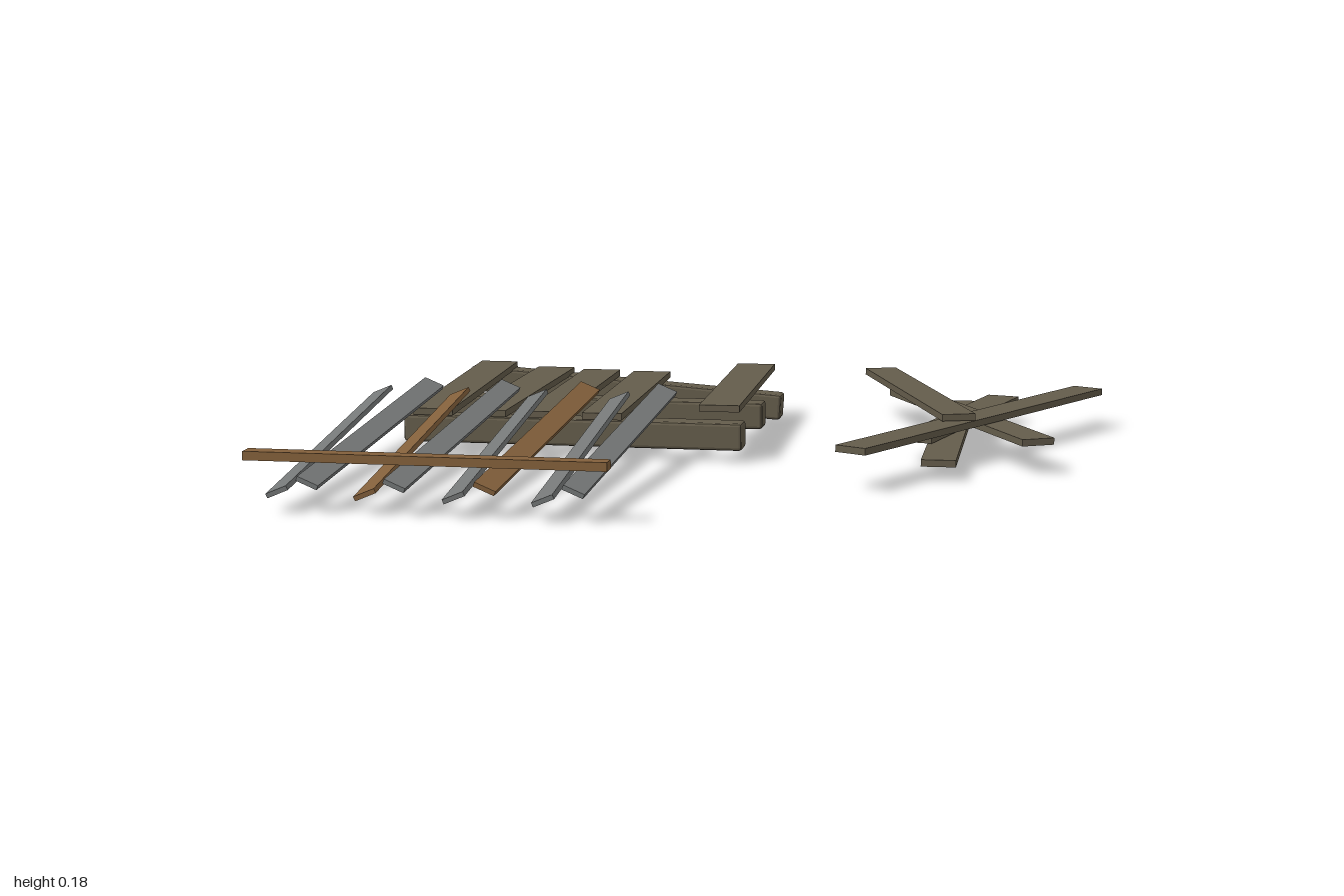
import * as THREE from 'three';
import { RoundedBoxGeometry } from 'three/addons/geometries/RoundedBoxGeometry.js';

const flat = (name, color) => {
  const m = new THREE.MeshStandardMaterial({ color, flatShading: true });
  m.name = name;
  return m;
};

export function createModel() {
  const group = new THREE.Group();
  const wood = flat('weathered wood', 0x645c4b);
  const grey = flat('grey wood', 0x757878);
  const brown = flat('brown wood', 0x83603b);

  // Plank running from its back end a to its front end b, rolled about its length
  function plank(name, a, b, width, thick, material, roll = 0) {
    const from = new THREE.Vector3(...a), to = new THREE.Vector3(...b);
    const mesh = new THREE.Mesh(new THREE.BoxGeometry(width, thick, from.distanceTo(to)), material);
    mesh.position.copy(from).lerp(to, 0.5);
    mesh.lookAt(to);
    mesh.rotateZ(roll);
    mesh.name = name;
    group.add(mesh);
  }

  // Pallet beams, the rear one sagging towards +x
  [['rearBeam', -0.725, -0.068], ['middleBeam', -0.375, 0], ['frontBeam', -0.025, 0]].forEach(([name, z, tilt]) => {
    const beam = new THREE.Mesh(new RoundedBoxGeometry(0.925, 0.073, 0.072, 1, 0.008), wood);
    beam.position.set(-0.39, 0.069, z);
    beam.rotation.z = tilt;
    beam.name = name;
    group.add(beam);
  });

  // Pallet boards: rear x, front x, rear y, front y
  [
    [-0.78, -0.77, 0.135, 0.116],
    [-0.607, -0.622, 0.122, 0.116],
    [-0.47, -0.466, 0.118, 0.116],
    [-0.32, -0.305, 0.116, 0.116],
    [-0.01, 0.013, 0.146, 0.146],
  ].forEach(([x0, x1, y0, y1], i) =>
    plank('palletBoard' + (i + 1), [x0, y0, -0.76], [x1, y1, 0.012], 0.108, 0.018, wood));

  // Sloping fence slats, alternately rolled and splayed: back x, front x
  [
    [-0.952, -0.918], [-0.808, -0.842], [-0.733, -0.699], [-0.592, -0.626],
    [-0.514, -0.48], [-0.37, -0.404], [-0.286, -0.262], [-0.156, -0.188],
  ].forEach(([x0, x1], i) => {
    const even = i % 2;
    const lift = even ? 0.024 : 0;
    plank('fenceSlat' + (i + 1), [x0, 0.146 + lift, -0.137], [x1, 0.055 + lift, 0.875],
      0.056, 0.012, i === 2 || i === 5 ? brown : grey, even ? -0.4 : 0.4);
  });

  // Fence rail across the front ends
  const rail = new THREE.Mesh(new THREE.BoxGeometry(0.895, 0.022, 0.045), brown);
  rail.position.set(-0.5525, 0.142, 0.858);
  rail.name = 'fenceRail';
  group.add(rail);

  // Loose planks stacked crosswise, top to bottom: back x, z then front x, z
  [
    [0.342, -0.87, 0.64, -0.07],
    [0.952, -0.727, 0.405, 0.358],
    [0.425, -0.745, 0.856, 0.045],
    [0.708, -0.787, 0.527, -0.06],
    [0.583, -0.802, 0.61, 0.178],
  ].forEach(([x0, z0, x1, z1], i) => {
    const y = 0.127 - i * 0.02;
    plank('loosePlank' + (i + 1), [x0, y, z0], [x1, y, z1], 0.09, 0.018, wood);
  });

  return group;
}
